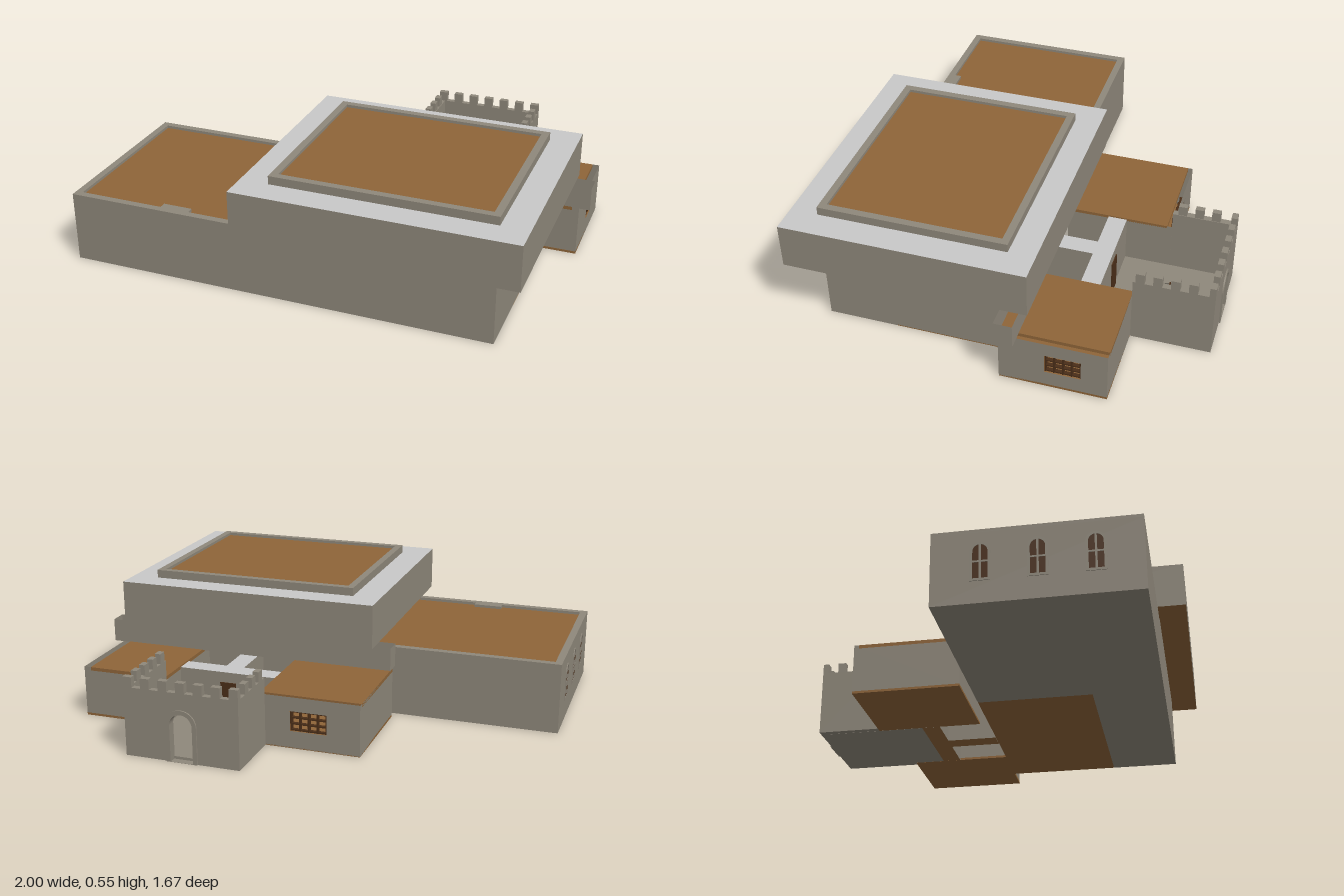
import * as THREE from 'three';

const mat = (name, color, side = THREE.FrontSide) => {
  const m = new THREE.MeshStandardMaterial({ color, side });
  m.name = name;
  return m;
};

export function createModel() {
  const root = new THREE.Group();
  root.name = 'fortress';
  const stone = mat('stone', 0x8f887b, THREE.DoubleSide);
  const wood = mat('wood', 0x8f6539, THREE.DoubleSide);
  const paving = mat('pale paving', 0xc8c8c8);
  const dark = mat('dark timber', 0x4a2e18);

  const add = (name, geo, material, parent = root) => {
    const m = new THREE.Mesh(geo, material);
    m.name = name;
    parent.add(m);
    return m;
  };
  // Box given by its limits along each axis
  const box = (name, [x0, x1], [y0, y1], [z0, z1], material, parent) => {
    const g = new THREE.BoxGeometry(x1 - x0, y1 - y0, z1 - z0);
    g.translate((x0 + x1) / 2, (y0 + y1) / 2, (z0 + z1) / 2);
    return add(name, g, material, parent);
  };
  const caps = (top, bottom) => [stone, stone, top, bottom, stone, stone];
  const rect = (path, x0, x1, y0, y1) =>
    path.moveTo(x0, y0).lineTo(x1, y0).lineTo(x1, y1).lineTo(x0, y1).closePath();
  const arch = (path, cx, r, y0, spring) => {
    path.moveTo(cx - r, y0);
    path.lineTo(cx + r, y0);
    path.lineTo(cx + r, spring);
    path.absarc(cx, spring, r, 0, Math.PI, false);
    path.closePath();
    return path;
  };
  // Raised border around a flat roof
  const rim = (name, [x0, x1], y, [z0, z1], t) => {
    const g = new THREE.Group();
    g.name = name;
    root.add(g);
    box('rimBack', [x0, x1], y, [z0, z0 + t], stone, g);
    box('rimFront', [x0, x1], y, [z1 - t, z1], stone, g);
    box('rimRight', [x0, x0 + t], y, [z0 + t, z1 - t], stone, g);
    box('rimLeft', [x1 - t, x1], y, [z0 + t, z1 - t], stone, g);
  };

  // Long side hall
  box('sideHall', [-1, -0.105], [0, 0.29], [-0.065, 0.715], caps(wood, stone));
  rim('sideHallRim', [-1, -0.105], [0.29, 0.302], [-0.065, 0.715], 0.03);
  box('rimBlock', [-0.605, -0.48], [0.28, 0.302], [0.655, 0.685], stone);

  // Main keep: lower storey, overhanging storey and raised roof
  box('keepLower', [-0.105, 0.81], [0.004, 0.32], [-0.065, 0.715], stone);
  box('keepFloor', [-0.105, 0.81], [0, 0.004], [-0.065, 0.42], wood);
  box('keepFloorFront', [-0.105, 0.81], [0, 0.004], [0.42, 0.715], stone);
  box('keepUpper', [-0.225, 0.925], [0.32, 0.51], [-0.175, 0.83], caps(paving, wood));
  box('keepRoof', [-0.105, 0.81], [0.51, 0.533], [-0.065, 0.715], caps(wood, stone));
  rim('keepRoofRim', [-0.105, 0.81], [0.533, 0.545], [-0.065, 0.715], 0.03);

  // Open-topped wall band behind the keep
  const band = new THREE.BoxGeometry(1.295, 0.1, 0.075);
  const faces = Array.from(band.index.array);
  band.setIndex([...faces.slice(0, 12), ...faces.slice(24)]);
  band.translate(0.3525, 0.268, -0.1025);
  add('wallBand', band, stone);

  // Flat wall pierced by a window, drawn in x and y
  const windowWall = (name, u0, u1, w0, w1) => {
    const s = new THREE.Shape();
    rect(s, u0, u1, 0, 0.22);
    const hole = new THREE.Path();
    rect(hole, w0, w1, 0.075, 0.16);
    s.holes.push(hole);
    const g = new THREE.Group();
    g.name = name;
    root.add(g);
    add('piercedWall', new THREE.ShapeGeometry(s), stone, g);
    const t = 0.006, d = [-0.025, -0.004];
    for (let i = 0; i <= 4; i++) {
      const u = w0 + (w1 - w0 - t) * i / 4;
      box('uprightBar', [u, u + t], [0.075, 0.16], d, dark, g);
    }
    for (let i = 0; i <= 3; i++) {
      const y = 0.075 + (0.085 - t) * i / 3;
      box('crossBar', [w0, w1], [y, y + t], [-0.022, -0.007], dark, g);
    }
    return g;
  };

  // Left room, window facing +x
  box('leftRoomRoof', [0.57, 0.925], [0.205, 0.22], [-0.5, -0.065], wood);
  box('leftRoomFloor', [0.57, 0.955], [0, 0.01], [-0.5, -0.065], wood);
  box('leftRoomInnerWall', [0.57, 0.595], [0.01, 0.205], [-0.5, -0.065], stone);
  for (const z of [-0.5, -0.066]) {
    const end = new THREE.PlaneGeometry(0.385, 0.22);
    end.translate(0.7625, 0.11, z);
    add('leftRoomEndWall', end, stone);
  }
  const leftWall = windowWall('leftRoomWindowWall', 0.065, 0.5, 0.25, 0.395);
  leftWall.rotation.y = Math.PI / 2;
  leftWall.position.x = 0.955;

  // Right room, window facing the back
  box('rightRoomRoof', [-0.295, 0.135], [0.205, 0.22], [-0.54, -0.105], wood);
  box('rightRoomFloor', [-0.295, 0.135], [0, 0.01], [-0.56, -0.105], wood);
  box('rightRoomFrontWall', [-0.295, 0.135], [0.01, 0.205], [-0.125, -0.105], stone);
  for (const x of [-0.295, 0.135]) {
    const end = new THREE.PlaneGeometry(0.455, 0.22);
    end.rotateY(Math.PI / 2);
    end.translate(x, 0.11, -0.3325);
    add('rightRoomEndWall', end, stone);
  }
  const rightWall = windowWall('rightRoomWindowWall', -0.135, 0.295, 0, 0.155);
  rightWall.rotation.y = Math.PI;
  rightWall.position.z = -0.56;

  // T-shaped passage linking rooms, tower and keep
  box('crossPassage', [0.136, 0.569], [0, 0.215], [-0.365, -0.285], caps(paving, wood));
  box('keepPassage', [0.31, 0.39], [0, 0.215], [-0.285, -0.066], caps(paving, wood));
  box('passageDoor', [0.315, 0.385], [0.012, 0.17], [-0.37, -0.365], dark);

  // Open gate tower
  box('towerFloor', [0.136, 0.569], [0, 0.012], [-0.805, -0.365], stone);
  box('towerRightWall', [0.107, 0.1345], [0, 0.29], [-0.83, -0.56], stone);
  box('towerLeftWall', [0.569, 0.594], [0, 0.29], [-0.83, -0.501], stone);
  const gate = new THREE.Shape();
  rect(gate, 0.1345, 0.569, 0, 0.29);
  gate.holes.push(arch(new THREE.Path(), 0.35, 0.048, 0.001, 0.155));
  const gateGeo = new THREE.ExtrudeGeometry(gate, { depth: 0.025, bevelEnabled: false });
  gateGeo.translate(0, 0, -0.83);
  add('gateWall', gateGeo, stone);
  const trim = arch(new THREE.Shape(), 0.35, 0.066, 0, 0.155);
  trim.holes.push(arch(new THREE.Path(), 0.35, 0.048, 0.001, 0.155));
  const trimGeo = new THREE.ExtrudeGeometry(trim, { depth: 0.037, bevelEnabled: false });
  trimGeo.translate(0, 0, -0.836);
  add('gateTrim', trimGeo, stone);

  // Battlements
  const cell = 0.487 / 13;
  for (let i = 0; i < 7; i++) {
    const x = 0.107 + 2 * i * cell;
    box('backMerlon', [x, x + cell], [0.29, 0.333], [-0.83, -0.805], stone);
  }
  for (let i = 1; i < 5; i++) {
    const z = -0.83 + i * 0.0705;
    if (i < 4) box('rightMerlon', [0.107, 0.132], [0.29, 0.333], [z, z + 0.036], stone);
    box('leftMerlon', [0.569, 0.594], [0.29, 0.333], [z, z + 0.036], stone);
  }

  // Well in the tower yard
  const ring = [[0.035, 0.012], [0.045, 0.012], [0.045, 0.06], [0.035, 0.06], [0.035, 0.012]];
  const well = add('wellRing', new THREE.LatheGeometry(ring.map(p => new THREE.Vector2(...p)), 20), stone);
  well.position.set(0.35, 0, -0.6);
  const lid = add('wellCover', new THREE.CylinderGeometry(0.035, 0.035, 0.04, 20), wood);
  lid.position.set(0.35, 0.032, -0.6);
  box('wellBar', [0.302, 0.398], [0.06, 0.066], [-0.603, -0.597], dark);

  // Arched windows on the right end of the side hall
  for (const z of [0.12, 0.33, 0.54]) {
    const g = new THREE.Group();
    g.name = 'archedWindow';
    g.rotation.y = -Math.PI / 2;
    g.position.set(-1, 0, z);
    root.add(g);
    const frame = arch(new THREE.Shape(), 0, 0.038, 0.09, 0.21);
    frame.holes.push(arch(new THREE.Path(), 0, 0.028, 0.1, 0.21));
    const pane = new THREE.ShapeGeometry(arch(new THREE.Shape(), 0, 0.028, 0.1, 0.21));
    pane.translate(0, 0, 0.001);
    add('pane', pane, dark, g);
    add('frame', new THREE.ExtrudeGeometry(frame, { depth: 0.003, bevelEnabled: false }), stone, g);
    box('mullion', [-0.004, 0.004], [0.1, 0.238], [0, 0.003], stone, g);
    box('transom', [-0.028, 0.028], [0.165, 0.172], [0, 0.003], stone, g);
  }
  return root;
}
